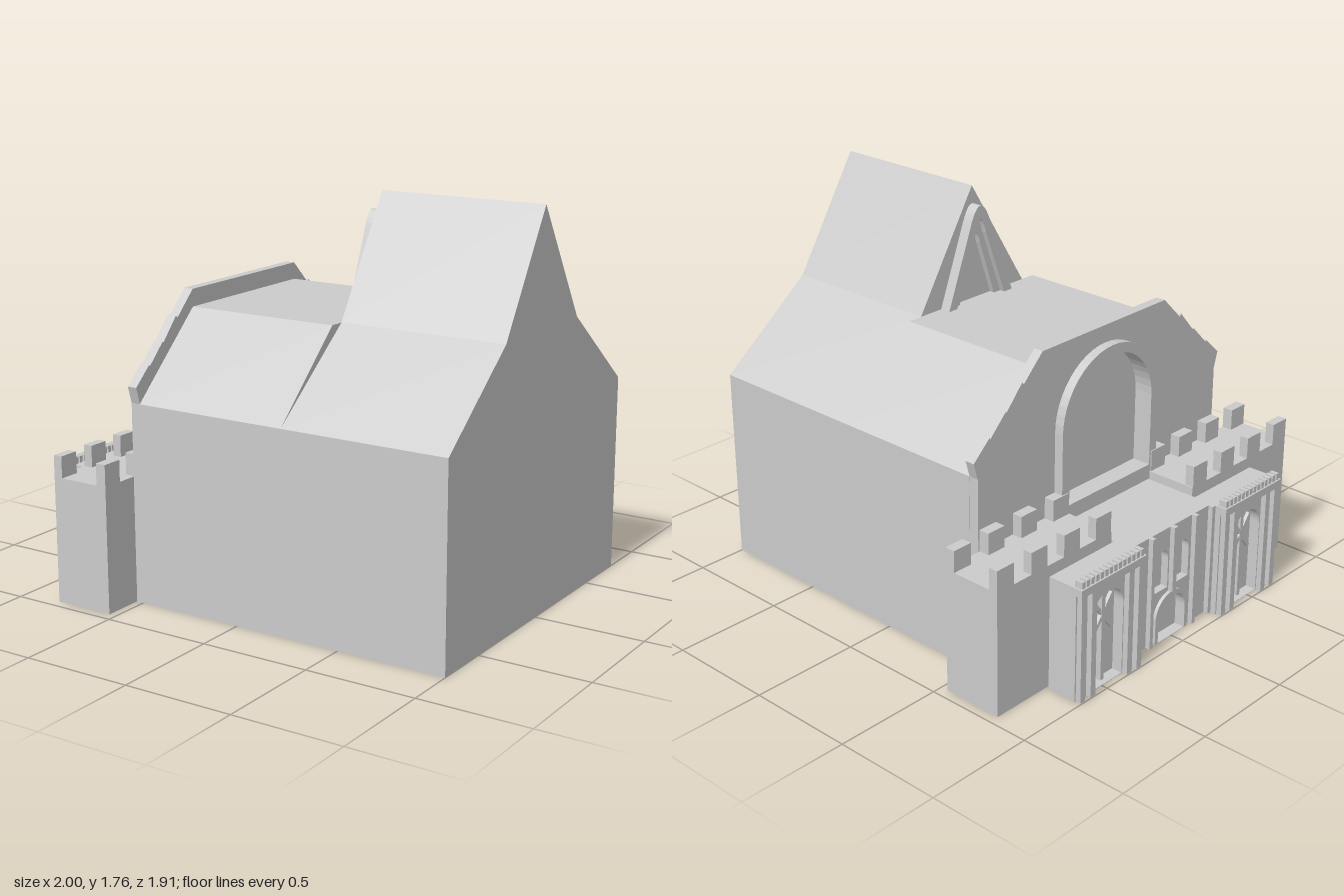
import * as THREE from 'three';

export function createModel() {
  const model = new THREE.Group();
  const mat = new THREE.MeshStandardMaterial({ color: 0xcccccc, flatShading: true });

  const add = (name, geo, parent = model) => {
    const m = new THREE.Mesh(geo, mat);
    m.name = name;
    parent.add(m);
    return m;
  };
  // box given by its extents
  const box = (name, x0, x1, y0, y1, z0, z1, parent) => {
    const g = new THREE.BoxGeometry(x1 - x0, y1 - y0, z1 - z0);
    g.translate((x0 + x1) / 2, (y0 + y1) / 2, (z0 + z1) / 2);
    return add(name, g, parent);
  };
  // cross-section in (z, y) pulled along x
  const pull = (name, shape, x0, x1, parent) => {
    const g = new THREE.ExtrudeGeometry(shape, { depth: x1 - x0, bevelEnabled: false, curveSegments: 12 });
    g.rotateY(Math.PI / 2).translate(x0, 0, 0);
    return add(name, g, parent);
  };
  // symmetric outline from its right half, listed bottom to top
  const mirrored = (half) => new THREE.Shape([
    ...half.map(([z, y]) => new THREE.Vector2(z, y)),
    ...half.slice().reverse().filter(([z]) => z > 0).map(([z, y]) => new THREE.Vector2(-z, y)),
  ]);
  // round-headed opening
  const arch = (r, y0, spring, Type = THREE.Shape) => {
    const s = new Type();
    s.moveTo(-r, y0);
    s.lineTo(r, y0);
    s.lineTo(r, spring);
    s.absarc(0, spring, r, 0, Math.PI, false);
    s.lineTo(-r, y0);
    return s;
  };
  // steep arch with a rounded tip
  const steepArch = (w, y0, tw, ty, peak, Type = THREE.Shape) => {
    const s = new Type();
    s.moveTo(-w, y0);
    s.lineTo(w, y0);
    s.lineTo(tw, ty);
    s.quadraticCurveTo(0, 2 * peak - ty, -tw, ty);
    s.lineTo(-w, y0);
    return s;
  };
  const ring = (outer, hole) => { outer.holes.push(hole); return outer; };

  // Main hall with flat-topped roof, and the taller gabled end
  pull('hall', mirrored([[0.77, 0], [0.77, 0.89], [0.39, 1.245]]), -0.49, 0.23);
  pull('gabledEnd', mirrored([[0.77, 0], [0.77, 0.89], [0.32, 1.245], [0, 1.76]]), 0.23, 1);

  // Gable window frame standing on the flat roof
  pull('gableArch', ring(steepArch(0.2, 1.24, 0.06, 1.6, 1.68),
    steepArch(0.15, 1.241, 0.035, 1.55, 1.62, THREE.Path)), 0.18, 0.23);
  pull('gableArchInner', ring(steepArch(0.151, 1.24, 0.036, 1.55, 1.621),
    steepArch(0.11, 1.241, 0.022, 1.5, 1.55, THREE.Path)), 0.205, 0.23);

  // Facade wall with stepped parapet and arched window opening
  const facade = mirrored([[0.768, 0], [0.768, 0.89], [0.79, 0.965], [0.70, 1.047], [0.695, 1.04],
    [0.605, 1.13], [0.6, 1.125], [0.51, 1.226], [0.5, 1.215], [0.39, 1.323]]);
  facade.holes.push(arch(0.265, 0.6, 0.935, THREE.Path));
  pull('facade', facade, -0.535, -0.49);
  pull('windowArch', ring(arch(0.31, 0.53, 0.935), arch(0.265, 0.6, 0.935, THREE.Path)), -0.578, -0.535);

  // Crenellated towers on both sides
  for (const s of [-1, 1]) {
    const tower = new THREE.Group();
    tower.name = s > 0 ? 'leftTower' : 'rightTower';
    model.add(tower);
    const sz = (name, x0, x1, y0, y1, a, b) =>
      box(name, x0, x1, y0, y1, Math.min(s * a, s * b), Math.max(s * a, s * b), tower);
    sz('towerBody', -0.815, -0.535, 0, 0.565, 0.27, 0.955);
    for (let i = 0; i < 4; i++) {
      const z = 0.275 + i * 0.195;
      sz('merlon', -0.815, -0.773, 0.565, 0.662, z, z + 0.095);
      sz('merlon', -0.583, -0.535, 0.565, 0.662, z, z + 0.095);
    }
  }

  // Side gates: recessed arch, pilasters, tracery and a row of dentils
  const makeGate = (zc, name) => {
    const gate = new THREE.Group();
    gate.name = name;
    gate.position.z = zc;
    model.add(gate);
    box('gateBack', -0.92, -0.83, 0, 0.525, -0.2, 0.2, gate);
    const front = mirrored([[0.2, 0], [0.2, 0.49]]);
    front.holes.push(arch(0.095, 0.002, 0.34, THREE.Path));
    pull('gateFront', front, -0.97, -0.92, gate);
    box('gateCornice', -1, -0.92, 0.49, 0.525, -0.2, 0.2, gate);
    for (const s of [-1, 1]) {
      for (const z of [0.115, 0.178]) {
        box('pilaster', -0.995, -0.97, 0, 0.49, s * z - 0.015, s * z + 0.015, gate);
      }
      const bar = box('tracery', -0.008, 0.008, -0.1, 0.1, -0.008, 0.008, gate);
      bar.position.set(-0.935, 0.31, 0);
      bar.rotation.x = s * 0.65;
    }
    box('mullion', -0.945, -0.92, 0, 0.42, -0.01, 0.01, gate);
    for (let i = 0; i < 14; i++) {
      const z = -0.182 + i * 0.028;
      box('dentil', -0.993, -0.955, 0.525, 0.555, z - 0.009, z + 0.009, gate);
    }
  };
  makeGate(0.468, 'leftGate');
  makeGate(-0.468, 'rightGate');

  // Central porch linking the gates, with arched panels
  const porch = new THREE.Group();
  porch.name = 'porch';
  model.add(porch);
  box('porchBody', -0.885, -0.535, 0, 0.525, -0.27, 0.27, porch);
  const screen = mirrored([[0.27, 0], [0.27, 0.525]]);
  for (const z of [-0.07, 0.07]) {
    const pts = arch(0.05, 0.24, 0.38).getPoints(10).map((p) => p.clone().setX(p.x + z));
    screen.holes.push(new THREE.Path(pts));
  }
  screen.holes.push(arch(0.09, 0.002, 0.11, THREE.Path));
  pull('porchScreen', screen, -0.92, -0.885, porch);
  pull('doorArch', ring(arch(0.11, 0, 0.11), arch(0.09, 0.002, 0.11, THREE.Path)), -0.935, -0.92, porch);
  for (const z of [-0.258, -0.145, 0.145, 0.258]) {
    box('porchPilaster', -0.943, -0.92, 0, 0.525, z - 0.01, z + 0.01, porch);
  }
  box('centrePilaster', -0.943, -0.92, 0.22, 0.525, -0.012, 0.012, porch);

  return model;
}
